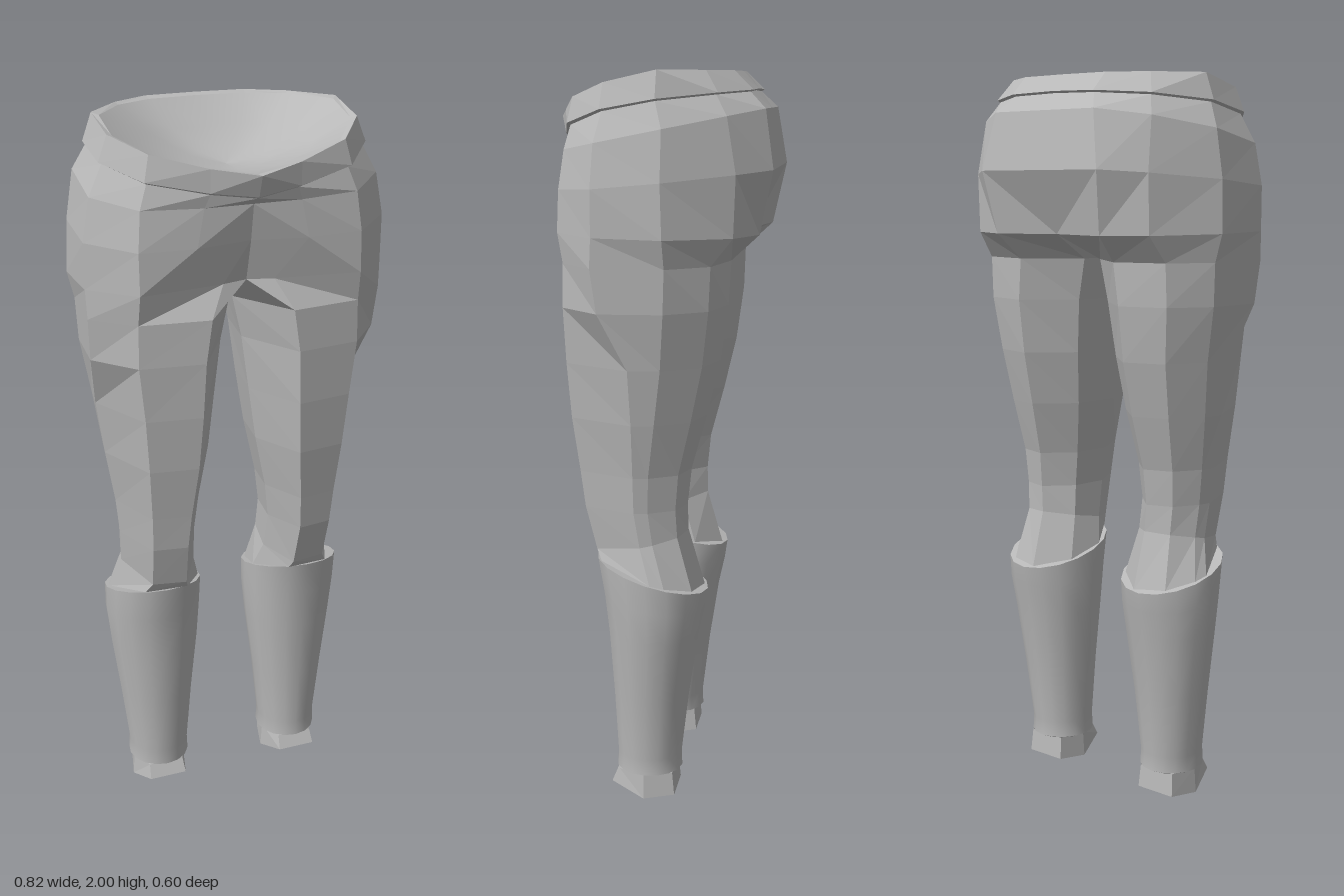
import * as THREE from 'three';

// Joins rows of [x, y, z] points, listed from the top row down, into a skin.
// side = -1 mirrors it in x; open leaves each row unclosed; smooth = false gives facets.
function loft(rows, { side = 1, smooth = false, open = false, capEnd = false } = {}) {
  const n = rows[0].length, pos = [], index = [];
  const tri = (a, b, c) => (side > 0 ? index.push(a, b, c) : index.push(a, c, b));
  rows.forEach(row => row.forEach(([x, y, z]) => pos.push(x * side, y, z)));
  for (let i = 0; i < rows.length - 1; i++) {
    for (let j = 0; j < (open ? n - 1 : n); j++) {
      const k = (j + 1) % n, a = i * n + j, b = i * n + k;
      tri(a, b, a + n);
      tri(b, b + n, a + n);
    }
  }
  if (capEnd) {
    const o = (rows.length - 1) * n;
    for (let j = 1; j < n - 1; j++) tri(o, o + j, o + j + 1);
  }
  let geo = new THREE.BufferGeometry();
  geo.setAttribute('position', new THREE.Float32BufferAttribute(pos, 3));
  geo.setIndex(index);
  if (!smooth) geo = geo.toNonIndexed();
  geo.computeVertexNormals();
  return geo;
}

// Half row (back centre round to front centre) completed to a full loop
const fullLoop = half => [...half, ...half.slice(1, -1).reverse().map(([x, y, z]) => [-x, y, z])];

// Waistband half rows
const bandTop = [[0, 2, -0.197], [0.14, 2, -0.19], [0.24, 2, -0.13], [0.335, 2, -0.02],
  [0.335, 1.97, 0.115], [0.26, 1.935, 0.21], [0.12, 1.9, 0.262], [0, 1.882, 0.3]];
const bandInner = [[0, 1.995, -0.175], [0.135, 1.995, -0.165], [0.235, 1.995, -0.115], [0.32, 1.995, 0],
  [0.32, 1.965, 0.11], [0.25, 1.93, 0.2], [0.12, 1.895, 0.245], [0, 1.88, 0.27]];
const bandBottom = [[0, 1.955, -0.24], [0.14, 1.952, -0.24], [0.27, 1.945, -0.165], [0.36, 1.93, -0.02],
  [0.36, 1.905, 0.12], [0.275, 1.87, 0.222], [0.12, 1.84, 0.262], [0, 1.825, 0.28]];
const tuck = bandBottom.map(([x, y, z]) => [x * 0.975, y - 0.005, z * 0.965]);

// Hip half rows: y, backward tilt, then [x, z] points
const hips = [
  [1.85, 0.2, [[0, -0.275], [0.17, -0.275], [0.29, -0.19], [0.385, -0.04], [0.39, 0.13], [0.29, 0.228], [0.13, 0.245], [0, 0.245]]],
  [1.725, 0.09, [[0, -0.3], [0.2, -0.3], [0.3, -0.215], [0.405, -0.04], [0.41, 0.135], [0.3, 0.242], [0.15, 0.25], [0, 0.228]]],
  [1.59, -0.02, [[0, -0.225], [0.18, -0.265], [0.3, -0.21], [0.41, -0.045], [0.41, 0.135], [0.3, 0.247], [0.07, 0.217], [0, 0.198]]],
];

// Leg stations: y, inner x, outer x, back z, front z, depth of the side seam, forward tilt
const legs = [
  [1.515, 0.004, 0.407, -0.19, 0.255, 0.74, 0],
  [1.4, 0.03, 0.4, -0.185, 0.257, 0.7, 0],
  [1.25, 0.05, 0.372, -0.165, 0.252, 0.52, 0],
  [1.1, 0.07, 0.35, -0.13, 0.24, 0.48, 0],
  [0.95, 0.1, 0.325, -0.09, 0.218, 0.45, 0],
  [0.85, 0.112, 0.315, -0.08, 0.205, 0.45, 0],
  [0.75, 0.108, 0.31, -0.082, 0.174, 0.45, -0.05],
  [0.66, 0.086, 0.34, -0.128, 0.16, 0.45, 0.085],
];
const legLoop = ([y, xi, xo, zb, zf, seam, tilt]) =>
  [[0.06, 0.25], [0.4, 0], [0.76, 0.08], [0.96, 0.32], [1, seam], [0.74, 0.95], [0.27, 1], [0, 0.62]]
    .map(([u, v]) => [xi + u * (xo - xi), y + tilt * (v - 0.5), zb + v * (zf - zb)]);

// Shin guard stations: y, inner x, outer x, back z, front z
const guard = [
  [0.66, 0.076, 0.35, -0.14, 0.168],
  [0.58, 0.077, 0.35, -0.132, 0.15],
  [0.48, 0.084, 0.34, -0.115, 0.137],
  [0.3, 0.105, 0.317, -0.088, 0.125],
  [0.12, 0.122, 0.296, -0.067, 0.116],
  [0.075, 0.12, 0.298, -0.069, 0.118],
];
// Rounded loop; inset shrinks it, hem tips it down towards the back
function ringLoop([y, xi, xo, zb, zf], inset = 0, hem = 0) {
  const loop = [], n = 16;
  for (let j = 0; j < n; j++) {
    const a = (j / n) * Math.PI * 2, c = -Math.cos(a);
    loop.push([(xi + xo) / 2 + Math.sin(a) * ((xo - xi) / 2 - inset), y + hem * c,
      (zb + zf) / 2 + c * ((zf - zb) / 2 - inset)]);
  }
  return loop;
}

export function createModel() {
  const model = new THREE.Group();
  model.name = 'armouredTrousers';
  const grey = new THREE.MeshStandardMaterial({ color: 0xb8b8b8, side: THREE.DoubleSide });
  grey.name = 'plain grey';
  const add = (name, geo) => {
    const mesh = new THREE.Mesh(geo, grey);
    mesh.name = name;
    model.add(mesh);
  };

  // Shallow dished lining closing the waist
  const dish = s => fullLoop(bandInner.map(([x, y, z]) =>
    [x * s, THREE.MathUtils.lerp(1.86, y, s * s), 0.05 + (z - 0.05) * s]));
  add('waistLining', loft([0, 0.35, 0.7, 1].map(dish), { smooth: true }));

  for (const side of [1, -1]) {
    const label = side > 0 ? 'left' : 'right';

    // Waistband half with its rim and a lower edge tucked into the hips
    add(label + 'Waistband', loft([bandInner, bandTop, bandBottom, tuck], { side, open: true }));

    // Hip half, then the leg running on from its lowest row
    const hipRows = hips.map(([y, tilt, pts]) => pts.map(([x, z]) => [x, y - tilt * z, z]));
    add(label + 'Hip', loft([tuck, ...hipRows], { side, open: true }));
    add(label + 'TrouserLeg', loft([hipRows[2], ...legs.map(legLoop)], { side }));

    // Shin guard, its top lip and bottom hem
    const hems = [0.045, 0.02, 0, 0, 0, 0];
    add(label + 'ShinGuard', loft(guard.map((g, i) => ringLoop(g, 0, hems[i])), { side, smooth: true }));
    add(label + 'GuardLip', loft([ringLoop(guard[0], 0.03, 0.035), ringLoop(guard[0], 0, 0.045)], { side }));
    add(label + 'GuardHem', loft([ringLoop(guard[5]), ringLoop([0.068, 0.12, 0.298, -0.069, 0.118], 0.014)], { side }));

    // Six-sided ankle stub with a sole that rises at the front
    const ankle = [[0.15, -0.055], [0.27, -0.055], [0.292, 0.03], [0.265, 0.11], [0.155, 0.11], [0.128, 0.03]];
    const soleY = [0.008, 0.008, 0, 0.035, 0.035, 0];
    add(label + 'Ankle', loft([
      ankle.map(([x, z]) => [0.21 + (x - 0.21) * 0.94, 0.073, 0.025 + (z - 0.025) * 0.92]),
      ankle.map(([x, z], i) => [x, soleY[i], z > 0.1 ? z + 0.014 : z]),
    ], { side, capEnd: true }));
  }
  return model;
}
